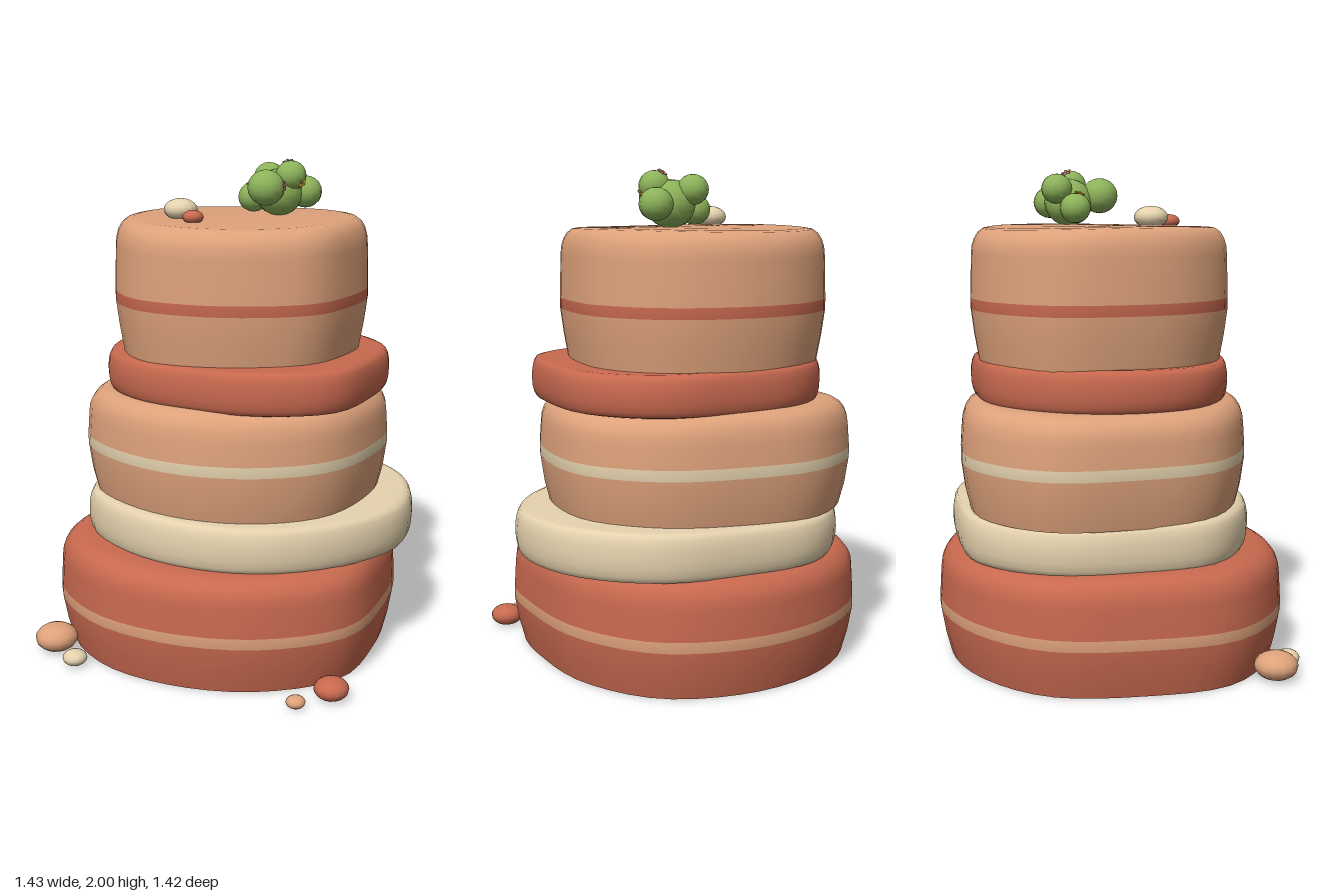
import * as THREE from 'three';

const RED = 0xc8694f, TAN = 0xdea27b, CREAM = 0xe5d2ae, GREEN = 0x8db35a, PINK = 0xe58aa0, YELLOW = 0xe8b840;
const SEG = 48;
const TOP = 1.765;

function material(color, side = THREE.FrontSide) {
  const m = new THREE.MeshStandardMaterial({ side });
  m.color.set(color);
  return m;
}

// Closed plan outline from radii at equal angles, turning from +x towards +z
function smoothOutline(radii) {
  const points = radii.map((r, i) => {
    const a = (i / radii.length) * Math.PI * 2;
    return new THREE.Vector3(r * Math.cos(a), 0, r * Math.sin(a));
  });
  return new THREE.CatmullRomCurve3(points, true).getSpacedPoints(SEG).slice(0, SEG);
}

// Rows of [y, scale]: tapered foot, stripe between rows 2 and 3, rounded shoulder
function blockProfile(y0, y1, stripeY) {
  const rows = [[y0, 0.94], [y0 + (y1 - y0) * 0.2, 0.975], [stripeY, 1], [stripeY + 0.044, 1]];
  for (let k = 0; k <= 5; k++) {
    const a = (k / 5) * Math.PI / 2;
    rows.push([y1 - 0.11 * (1 - Math.sin(a)), 0.84 + 0.15 * Math.cos(a) ** 0.8]);
  }
  return rows;
}

// Rows of [y, scale] for a thin slab with a bulging rim
function slabProfile(y0, y1) {
  const rows = [];
  for (let k = 0; k <= 8; k++) {
    const a = (k / 8 - 0.5) * Math.PI;
    rows.push([(y0 + y1) / 2 + ((y1 - y0) / 2) * Math.sin(a), 0.93 + 0.07 * Math.max(Math.cos(a), 0) ** 0.6]);
  }
  return rows;
}

// Open-bottomed rock: the outline scaled along the profile and closed on top
function rockLayer({ name, color, radii, y0, y1, stripeY, stripeColor }) {
  const ring = smoothOutline(radii);
  const c = new THREE.Box3().setFromPoints(ring).getCenter(new THREE.Vector3());
  const rows = stripeY ? blockProfile(y0, y1, stripeY) : slabProfile(y0, y1);
  rows.push([y1 + 0.003, 0.5], [y1 + 0.004, 0]);

  const positions = [], body = [], band = [];
  rows.forEach(([y, s], j) => {
    ring.forEach((p, i) => {
      // Slight waviness near the top edge
      const lift = j > rows.length - 7 ? 0.005 * s * Math.sin((i / SEG) * Math.PI * 4 + y1 * 5) : 0;
      positions.push(c.x + (p.x - c.x) * s, y + lift, c.z + (p.z - c.z) * s);
      if (j === rows.length - 1) return;
      const a = j * SEG + i, b = j * SEG + (i + 1) % SEG;
      (stripeY && j === 2 ? band : body).push(a, a + SEG, b, b, a + SEG, b + SEG);
    });
  });
  const whole = new THREE.BufferGeometry();
  whole.setAttribute('position', new THREE.Float32BufferAttribute(positions, 3));
  whole.setIndex([...body, ...band]);
  whole.computeVertexNormals();

  // Body and stripe share the normals, so the stripe lies flush
  const group = new THREE.Group();
  group.name = name;
  const add = (part, index, partColor) => {
    const mesh = new THREE.Mesh(whole.clone().setIndex(index), material(partColor, THREE.DoubleSide));
    mesh.name = part;
    group.add(mesh);
  };
  add(name + 'Body', body, color);
  if (stripeY) add(name + 'Stripe', band, stripeColor);
  return group;
}

const LAYERS = [
  { name: 'baseBlock', color: RED, y0: 0, y1: 0.465, stripeY: 0.195, stripeColor: TAN,
    radii: [0.64, 0.71, 0.7, 0.7, 0.74, 0.77, 0.715, 0.745, 0.725, 0.715, 0.715, 0.665] },
  { name: 'lowerSlab', color: CREAM, y0: 0.45, y1: 0.645,
    radii: [0.71, 0.645, 0.605, 0.58, 0.595, 0.645, 0.618, 0.665, 0.685, 0.645, 0.7, 0.725] },
  { name: 'middleBlock', color: TAN, y0: 0.635, y1: 1.075, stripeY: 0.834, stripeColor: CREAM,
    radii: [0.575, 0.58, 0.56, 0.555, 0.58, 0.64, 0.64, 0.715, 0.69, 0.62, 0.625, 0.62] },
  { name: 'upperSlab', color: RED, y0: 1.065, y1: 1.235,
    radii: [0.58, 0.61, 0.54, 0.485, 0.505, 0.55, 0.566, 0.59, 0.59, 0.56, 0.61, 0.62] },
  { name: 'topBlock', color: TAN, y0: 1.228, y1: TOP, stripeY: 1.437, stripeColor: RED,
    radii: [0.477, 0.487, 0.46, 0.465, 0.502, 0.514, 0.535, 0.605, 0.595, 0.57, 0.562, 0.525] },
];

// [x, z, radius, colour], resting on the ground or on the top block
const GROUND_PEBBLES = [
  [-0.59, 0.56, 0.088, TAN], [-0.445, 0.655, 0.05, CREAM], [0.608, 0.505, 0.069, RED], [0.51, 0.628, 0.038, TAN],
];
const TOP_PEBBLES = [[-0.21, 0.13, 0.068, CREAM], [-0.105, 0.23, 0.042, RED]];

// [x, y, z, radius]
const LOBES = [
  [0.1, 1.86, -0.15, 0.1], [0.098, 1.887, -0.02, 0.075], [-0.01, 1.837, -0.14, 0.063],
  [0.03, 1.915, -0.21, 0.063], [0.16, 1.93, -0.13, 0.063], [0.19, 1.86, -0.215, 0.068],
];

// [lobe, outward direction, petal colour]
const FLOWERS = [
  [4, [-0.4, 0.9, -0.4], PINK], [1, [1, 0.15, -0.25], PINK], [2, [0, 1, 0.35], YELLOW], [4, [0.85, -0.5, 0.15], YELLOW],
];

function ball(name, color, x, y, z, radius, flatness, sides = 14) {
  const mesh = new THREE.Mesh(new THREE.SphereGeometry(radius, sides, Math.ceil(sides * 0.7)), material(color));
  mesh.name = name;
  mesh.position.set(x, y, z);
  mesh.scale.y = flatness;
  return mesh;
}

function pebble([x, z, radius, color], floor) {
  return ball('pebble', color, x, floor + radius * 0.65, z, radius, 0.65);
}

// Five petals round a small centre, sitting on the skin of a lobe
function flower([lobe, direction, color]) {
  const [x, y, z, radius] = LOBES[lobe];
  const out = new THREE.Vector3(...direction).normalize();
  const group = new THREE.Group();
  group.name = 'flower';
  for (let i = 0; i < 5; i++) {
    const a = (i / 5) * Math.PI * 2;
    const petal = ball('petal', color, Math.cos(a) * 0.013, 0, Math.sin(a) * 0.013, 0.011, 0.4, 6);
    petal.scale.z = 0.55;
    petal.rotation.y = -a;
    group.add(petal);
  }
  group.add(ball('flowerCentre', YELLOW, 0, 0.003, 0, 0.006, 0.8, 6));
  group.position.set(x, y, z).addScaledVector(out, radius);
  group.quaternion.setFromUnitVectors(new THREE.Vector3(0, 1, 0), out);
  return group;
}

export function createModel() {
  const model = new THREE.Group();
  model.name = 'stackedRock';
  LAYERS.forEach((layer) => model.add(rockLayer(layer)));
  GROUND_PEBBLES.forEach((p) => model.add(pebble(p, 0)));
  TOP_PEBBLES.forEach((p) => model.add(pebble(p, TOP - 0.007)));

  // Cactus clump on top
  const cactus = new THREE.Group();
  cactus.name = 'cactus';
  LOBES.forEach(([x, y, z, r]) => cactus.add(ball('cactusLobe', GREEN, x, y, z, r, 0.96)));
  FLOWERS.forEach((f) => cactus.add(flower(f)));
  model.add(cactus);
  return model;
}
